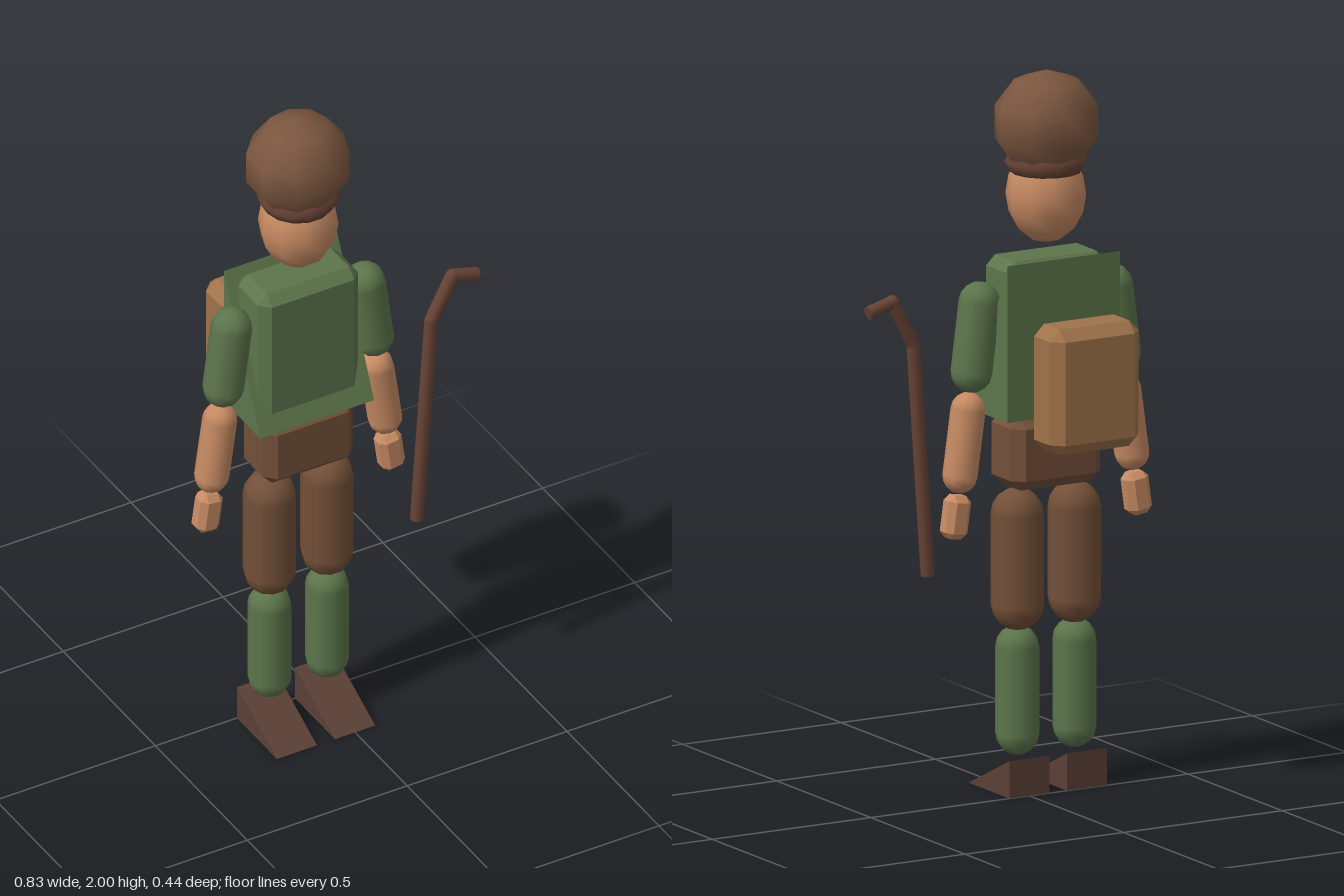
import * as THREE from 'three';
import { ConvexGeometry } from 'three/addons/geometries/ConvexGeometry.js';

const mat = (color) => new THREE.MeshStandardMaterial({ color });
const skin = mat(0xc68a62);
const green = mat(0x5c754b);
const brown = mat(0x7b563f);
const trouser = mat(0x735038);
const darkBrown = mat(0x5b4036);
const bandBrown = mat(0x684335);
const tan = mat(0x9f734a);

const CX = -0.091; // the body's middle, left and right mirror about it
const CZ = 0.066;

export function createModel() {
  const model = new THREE.Group();
  model.name = 'traveller';

  const add = (name, geometry, material, x, y, z) => {
    const mesh = new THREE.Mesh(geometry, material);
    mesh.name = name;
    mesh.position.set(x, y, z);
    model.add(mesh);
    return mesh;
  };

  // Box with every edge cut by a flat chamfer c
  const chamferBox = (w, h, d, c) => {
    const points = [];
    for (const sx of [-1, 1]) for (const sy of [-1, 1]) for (const sz of [-1, 1]) {
      for (let axis = 0; axis < 3; axis++) {
        const half = [w / 2, h / 2, d / 2].map((v, i) => (i === axis ? v : v - c));
        points.push(new THREE.Vector3(sx * half[0], sy * half[1], sz * half[2]));
      }
    }
    return new ConvexGeometry(points);
  };

  // Upright back face, slope falling towards the front
  const wedge = (w, h, d) => {
    const side = new THREE.Shape([
      new THREE.Vector2(0, 0), new THREE.Vector2(d, 0), new THREE.Vector2(0, h),
    ]);
    return new THREE.ExtrudeGeometry(side, { depth: w, bevelEnabled: false })
      .rotateY(-Math.PI / 2).translate(w / 2, 0, 0);
  };

  const capsule = (r, total) => new THREE.CapsuleGeometry(r, total - 2 * r, 4, 10);

  // Head and hat
  const head = add('head', new THREE.SphereGeometry(1, 10, 8), skin, CX, 1.655, CZ);
  head.scale.set(0.11, 0.135, 0.11);
  const hat = add('hat', new THREE.SphereGeometry(1, 9, 5), brown, CX, 1.852, CZ - 0.002);
  hat.scale.set(0.152, 0.148, 0.144);
  hat.rotation.y = Math.PI;
  add('hatBand', new THREE.TorusGeometry(0.08, 0.034, 6, 14).rotateX(Math.PI / 2),
    bandBrown, CX, 1.747, CZ);

  // Trunk
  add('torso', chamferBox(0.313, 0.43, 0.162, 0.028), green, CX, 1.275, CZ);
  add('cape', wedge(0.355, 0.437, 0.2), green, CX, 1.055, -0.03);
  add('hips', chamferBox(0.281, 0.205, 0.163, 0.03), trouser, CX, 0.952, CZ);
  add('backpack', chamferBox(0.281, 0.35, 0.144, 0.031), tan, CX, 1.165, -0.15);

  // Limbs, mirrored
  for (const [side, s] of [['left', 1], ['right', -1]]) {
    const limb = (name, geometry, material, dx, y, tilt = 0, z = CZ) => {
      const mesh = add(side + name, geometry, material, CX + s * dx, y, z);
      mesh.rotation.z = s * tilt;
    };
    limb('Thigh', capsule(0.073, 0.397), trouser, 0.09, 0.648);
    limb('Shin', capsule(0.06, 0.362), green, 0.09, 0.283);
    limb('Shoe', wedge(0.126, 0.104, 0.217), darkBrown, 0.091, 0, 0, 0);
    limb('UpperArm', capsule(0.057, 0.308), green, 0.222, 1.281, 0.13);
    limb('Forearm', capsule(0.048, 0.28), skin, 0.258, 0.991, 0.14);
    limb('Hand', chamferBox(0.07, 0.12, 0.064, 0.017), skin, 0.285, 0.788, 0.14);
  }

  // Walking stick with a crooked handle
  const stick = [[0.222, 0.607], [0.267, 1.256], [0.333, 1.382], [0.41, 1.36]]
    .map(([x, y]) => new THREE.Vector3(x, y, 0.167));
  const r = 0.0195;
  for (let i = 0; i < 3; i++) {
    const dir = stick[i + 1].clone().sub(stick[i]);
    const mid = stick[i].clone().add(stick[i + 1]).multiplyScalar(0.5);
    const part = add(i ? 'stickHandle' : 'stickShaft',
      new THREE.CylinderGeometry(r, r, dir.length(), 8), bandBrown, mid.x, mid.y, mid.z);
    part.quaternion.setFromUnitVectors(new THREE.Vector3(0, 1, 0), dir.normalize());
    if (i) add('stickBend', new THREE.SphereGeometry(r, 8, 6), bandBrown, stick[i].x, stick[i].y, stick[i].z);
  }

  return model;
}
